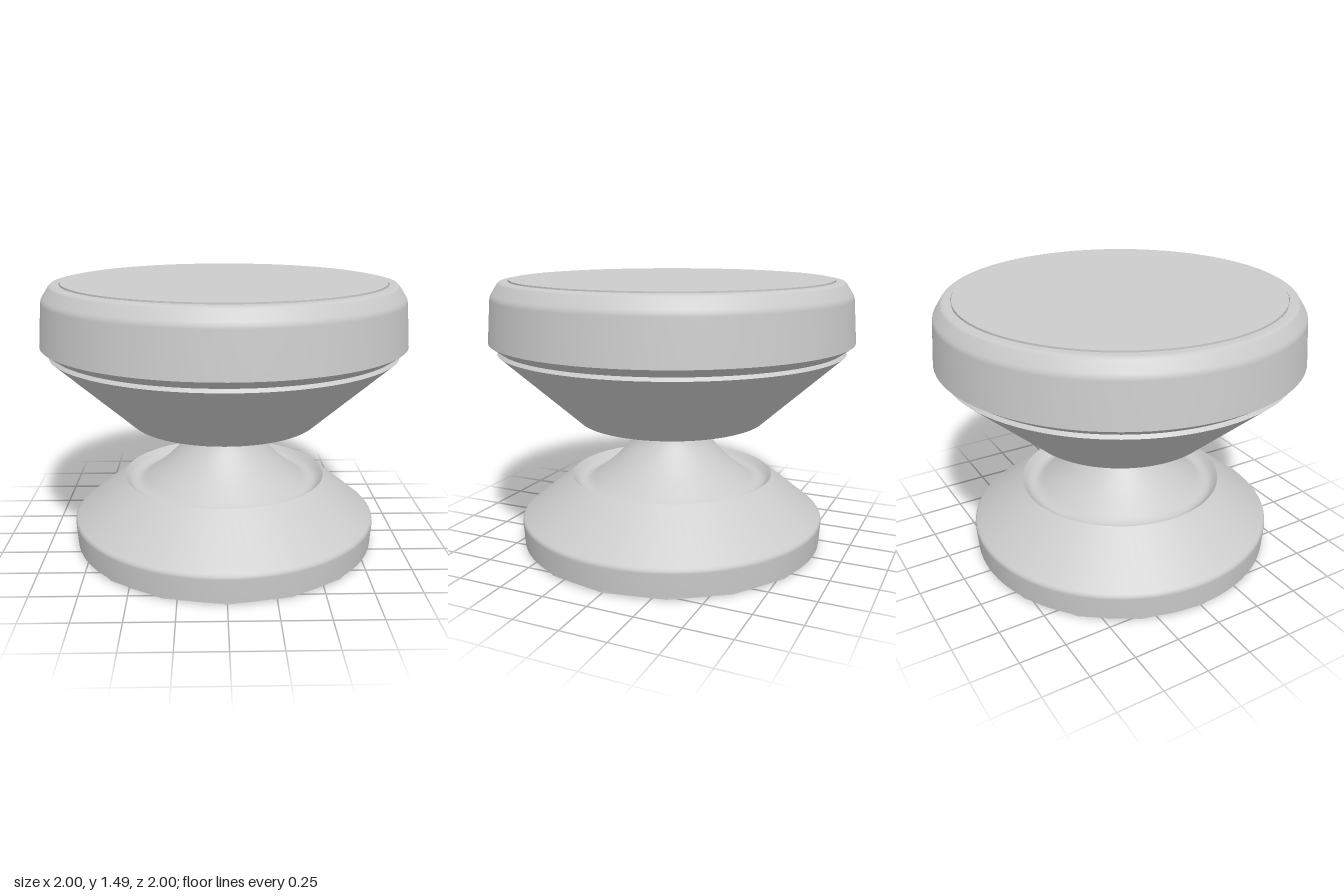
import * as THREE from 'three';

const SEGMENTS = 96;

// Softens the inner corners of a profile with a small three-point bevel.
function soften(points, size) {
  const result = [points[0]];
  for (let i = 1; i < points.length - 1; i++) {
    const p = points[i];
    const [a, b] = [points[i - 1], points[i + 1]].map((q) => {
      const d = q.clone().sub(p);
      return d.setLength(Math.min(size, d.length() * 0.4)).add(p);
    });
    const mid = a.clone().add(b).multiplyScalar(0.25).addScaledVector(p, 0.5);
    result.push(a, mid, b);
  }
  result.push(points[points.length - 1]);
  return result;
}

export function createModel() {
  const model = new THREE.Group();
  const material = new THREE.MeshStandardMaterial({ color: 0xcccccc, side: THREE.DoubleSide });

  const add = (name, geometry, parent) => {
    const mesh = new THREE.Mesh(geometry, material);
    mesh.name = name;
    parent.add(mesh);
    return mesh;
  };
  const part = (name) => {
    const group = new THREE.Group();
    group.name = name;
    model.add(group);
    return group;
  };
  // Each turned surface is smooth inside and sharp where it meets the next one.
  const turn = (name, parent, profile, bevel = 0.015) => {
    const points = profile.map(([r, y]) => new THREE.Vector2(r, y));
    add(name, new THREE.LatheGeometry(soften(points, bevel), SEGMENTS), parent);
  };

  // Base: faceted foot pad, skirt, sloping shoulder
  const base = part('base');
  const pad = add('footPad', new THREE.CylinderGeometry(0.845, 0.845, 0.016, 16), base);
  pad.material = material.clone();
  pad.material.flatShading = true;
  pad.position.y = 0.008;
  turn('baseUnderside', base, [[0, 0.013], [0.85, 0.013]]);
  turn('baseSkirt', base, [[0.85, 0.013], [0.86, 0.155], [0.57, 0.39]]);

  // Neck: waisted stem flaring into the base dish and the head recess
  const neck = part('neck');
  const stem = new THREE.SplineCurve([
    [0.57, 0.39], [0.53, 0.352], [0.48, 0.35], [0.415, 0.395], [0.33, 0.465], [0.25, 0.55],
    [0.21, 0.61], [0.195, 0.66], [0.21, 0.68], [0.27, 0.705], [0.34, 0.73], [0.38, 0.745],
  ].map(([r, y]) => new THREE.Vector2(r, y)));
  add('stem', new THREE.LatheGeometry(stem.getPoints(44), SEGMENTS), neck);

  // Head: recess, flared cup, seam, rim band and raised cap
  const head = part('head');
  turn('recessWall', head, [[0.38, 0.745], [0.38, 0.705]]);
  turn('cupUnderside', head, [[0.38, 0.705], [0.505, 0.705]]);
  turn('cup', head, [[0.505, 0.705], [0.52, 0.71], [0.955, 1.105]], 0.006);
  turn('seam', head, [[0.955, 1.105], [0.94, 1.122]]);
  turn('rimUnderside', head, [[0.94, 1.122], [1.0, 1.165]]);
  turn('rimBand', head, [[1.0, 1.165], [0.98, 1.41], [0.93, 1.487], [0.882, 1.487]]);
  turn('capGap', head, [[0.882, 1.487], [0.882, 1.475], [0.877, 1.475]], 0.001);
  turn('capEdge', head, [[0.877, 1.475], [0.877, 1.494]]);
  turn('capTop', head, [[0.877, 1.494], [0, 1.494]]);

  return model;
}
